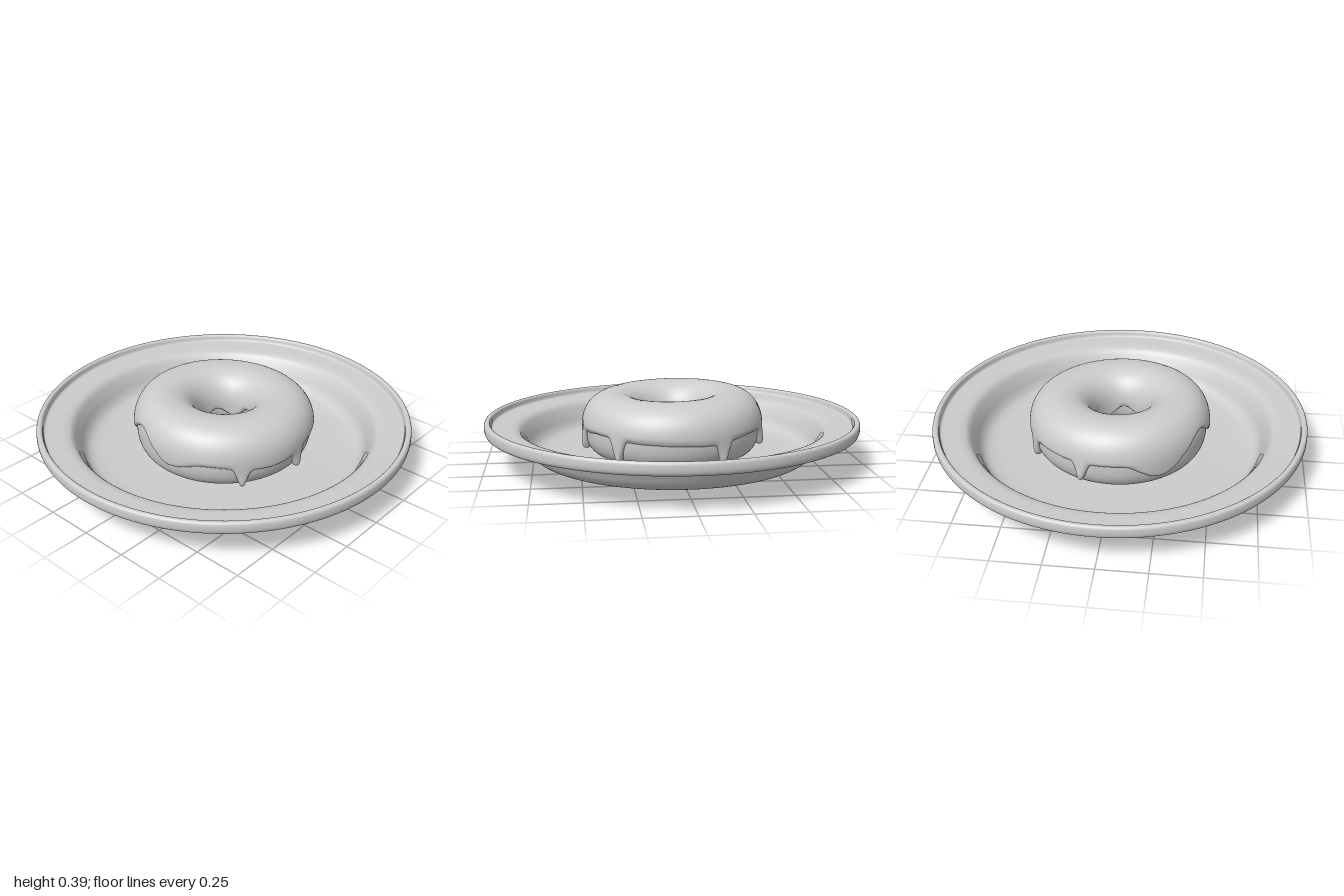
import * as THREE from 'three';

const RING = 0.315, HALF_W = 0.155, HALF_H = 0.162, MID_Y = 0.2;
const rad = THREE.MathUtils.degToRad;
const power = (v, e) => Math.sign(v) * Math.pow(Math.abs(v), e);
const UPPER = 0.9, LOWER = 0.75; // roundness above and below the middle

// Point on the dough surface (u around the ring, v around the section), pushed out by off
function ringPoint(u, v, off, tilt) {
  const s = Math.sin(v), e = s > 0 ? UPPER : LOWER;
  const r = RING + (HALF_W + off) * power(Math.cos(v), e);
  const x = r * Math.cos(u), z = r * Math.sin(u);
  const y = MID_Y + (HALF_H + off) * power(s, e) - tilt * (x + z) * Math.max(s, 0);
  return [x, y, z];
}

// Section angle on the outer side at height y
function angleAt(y) {
  const t = (y - MID_Y) / HALF_H;
  return Math.asin(power(t, 1 / (t > 0 ? UPPER : LOWER)));
}

// Grid that closes around the ring, so normals stay smooth
function ringGrid(nu, nv, point) {
  const pos = [], idx = [];
  for (let i = 0; i < nu; i++) {
    for (let j = 0; j <= nv; j++) pos.push(...point((i / nu) * Math.PI * 2, j / nv));
  }
  for (let i = 0; i < nu; i++) {
    for (let j = 0; j < nv; j++) {
      const a = i * (nv + 1) + j, b = ((i + 1) % nu) * (nv + 1) + j;
      idx.push(a, a + 1, b, b, a + 1, b + 1);
    }
  }
  const g = new THREE.BufferGeometry();
  g.setAttribute('position', new THREE.Float32BufferAttribute(pos, 3));
  g.setIndex(idx);
  g.computeVertexNormals();
  return g;
}

// Icing drips: angle in degrees, height of the tip
const DRIPS = [[42, 0.072], [85, 0.09], [127, 0.08], [288, 0.11], [333, 0.085]];
// Lower icing edge between the drips
const EDGE = [
  [0, 0.18], [20, 0.185], [60, 0.2], [72, 0.19], [105, 0.16], [150, 0.19], [174, 0.155],
  [202, 0.262], [238, 0.127], [263, 0.205], [305, 0.2], [345, 0.175], [360, 0.18],
];

function edgeHeight(u) {
  const d = ((u * 180 / Math.PI) % 360 + 360) % 360;
  let k = 0;
  while (k < EDGE.length - 2 && d > EDGE[k + 1][0]) k++;
  const [d0, y0] = EDGE[k], [d1, y1] = EDGE[k + 1];
  let y = y0 + (y1 - y0) * (0.5 - 0.5 * Math.cos(Math.PI * (d - d0) / (d1 - d0)));
  for (const [c, tip] of DRIPS) {
    const w = Math.exp(-Math.pow(Math.abs(d - c) / 4.2, 2.6));
    y += (tip - y) * w;
  }
  return y;
}

const outerEdge = (u) => angleAt(edgeHeight(u));
const innerEdge = (u) => Math.PI - angleAt(0.165 + 0.025 * Math.sin(5 * u) + 0.015 * Math.sin(3 * u + 1));

// Icing thickness, rounded off towards both edges and swollen at the drip tips
function icingPoint(u, t) {
  const v0 = outerEdge(u), v1 = innerEdge(u);
  const v = v0 + (v1 - v0) * (0.5 - 0.5 * Math.cos(Math.PI * t));
  const h = 0.01;
  const slope = (outerEdge(u + h) - outerEdge(u - h)) / (2 * h) * HALF_W / 0.47;
  const dist = Math.min((v - v0) * HALF_W / Math.hypot(1, slope), (v1 - v) * HALF_W);
  const k = 1 - Math.min(dist / 0.018, 1);
  const round = Math.sqrt(Math.max(0, 1 - k * k));
  let off = -0.003 + 0.02 * round;
  for (const [c, tip] of DRIPS) {
    const du = Math.atan2(Math.sin(u - rad(c)), Math.cos(u - rad(c))) * 0.47;
    const dv = (v - angleAt(tip + 0.025)) * HALF_W;
    off += 0.014 * round * Math.exp(-(du * du + dv * dv * 0.4) / (0.022 * 0.022));
  }
  return ringPoint(u, v, off, 0.02);
}

export function createModel() {
  const group = new THREE.Group();
  const grey = new THREE.MeshStandardMaterial({ color: 0xcccccc });
  grey.name = 'light grey';
  const add = (name, geometry) => {
    const mesh = new THREE.Mesh(geometry, grey);
    mesh.name = name;
    group.add(mesh);
  };

  // Plate: underside outwards, around the raised lip, then back over the rim into the well
  const profile = [
    [0, 0], [0.3, 0.003], [0.5, 0.008], [0.62, 0.015], [0.71, 0.034], [0.76, 0.066],
    [0.79, 0.115], [0.815, 0.158], [0.85, 0.175], [0.9, 0.176], [0.965, 0.176], [0.99, 0.182],
    [1, 0.2], [1, 0.23], [0.993, 0.243], [0.98, 0.245], [0.97, 0.239], [0.964, 0.218],
    [0.952, 0.21], [0.9, 0.207], [0.85, 0.203], [0.815, 0.187], [0.785, 0.14],
    [0.76, 0.09], [0.73, 0.06], [0.68, 0.046], [0.58, 0.039], [0.3, 0.035], [0, 0.035],
  ].map(([x, y]) => new THREE.Vector2(x, y));
  const smooth = new THREE.SplineCurve(profile).getPoints(140);
  smooth.forEach((p) => { p.x = Math.max(p.x, 0); p.y = Math.max(p.y, 0); });
  add('plate', new THREE.LatheGeometry(smooth, 128));

  // Ring of dough resting in the well
  add('dough', ringGrid(128, 64, (u, t) => ringPoint(u, t * Math.PI * 2, 0, 0)));

  // Dripping icing over the dough
  add('icing', ringGrid(720, 48, icingPoint));

  return group;
}
